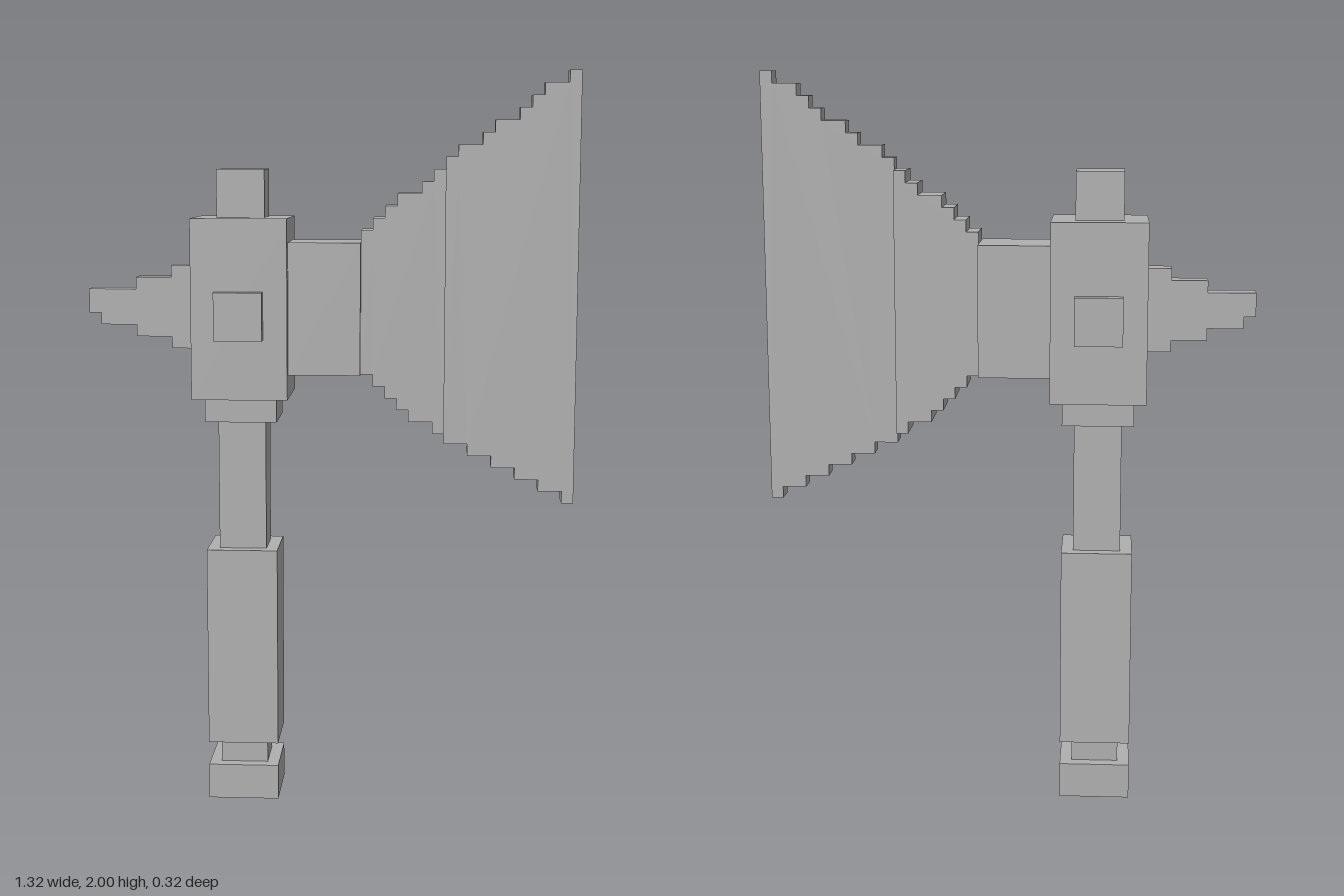
import * as THREE from 'three';

const U = 1 / 31; // one block

export function createModel() {
  const axe = new THREE.Group();
  axe.name = 'battleAxe';
  const stone = new THREE.MeshStandardMaterial({ color: 0xb0b0b0 });
  stone.name = 'grey';

  const add = (name, geometry) => {
    const mesh = new THREE.Mesh(geometry, stone);
    mesh.name = name;
    axe.add(mesh);
    return mesh;
  };

  // Box from block limits, symmetric in z
  const block = (name, x0, x1, y0, y1, halfZ) => {
    const geometry = new THREE.BoxGeometry((x1 - x0) * U, (y1 - y0) * U, 2 * halfZ * U);
    add(name, geometry).position.set((x0 + x1) / 2 * U, (y0 + y1) / 2 * U, 0);
  };

  // Stepped plate: each edge is a list of [x where the step begins, y], ending at xEnd
  const steppedPlate = (name, top, bottom, xEnd, halfZ) => {
    const outline = (steps) => steps.flatMap(([x, y], i) => {
      const next = i + 1 < steps.length ? steps[i + 1][0] : xEnd;
      return [new THREE.Vector2(x * U, y * U), new THREE.Vector2(next * U, y * U)];
    });
    const points = [...outline(bottom), ...outline(top).reverse()];
    const geometry = new THREE.ExtrudeGeometry(new THREE.Shape(points), {
      depth: 2 * halfZ * U, bevelEnabled: false,
    });
    geometry.translate(0, 0, -halfZ * U);
    add(name, geometry);
  };

  // Handle
  block('pommel', -10.5, -4.5, 0, 3, 3);
  block('lowerShaft', -9.5, -5.5, 3, 5, 2);
  block('grip', -10.5, -4.5, 5, 22, 3);
  block('upperShaft', -9.5, -5.5, 22, 33, 2);
  block('collar', -10.5, -4.5, 33, 35, 3);

  // Head
  block('headBlock', -11.5, -3.5, 35, 50, 4);
  block('topCap', -9.5, -5.5, 50, 54, 2);
  block('sideStuds', -9.5, -5.5, 40, 44, 5);
  block('bladeNeck', -3.5, 2.5, 37, 48, 3);

  // Blade: thick root, then thin flaring edge
  steppedPlate('bladeRoot',
    [[2.5, 49], [3.5, 50], [4.5, 51], [5.5, 52], [7.5, 53], [8.5, 54]],
    [[2.5, 37], [3.5, 36], [4.5, 35], [5.5, 34], [6.5, 33], [8.5, 32]], 9.5, 2);
  steppedPlate('bladeEdge',
    [[9.5, 55], [10.5, 56], [12.5, 57], [13.5, 58], [15.5, 59], [16.5, 60], [17.5, 61], [19.5, 62]],
    [[9.5, 31], [11.5, 30], [13.5, 29], [15.5, 28], [17.5, 27], [19.5, 26]], 20.5, 1);

  // Back spike
  steppedPlate('backSpike',
    [[-20.5, 44], [-16.5, 45], [-13.5, 46]],
    [[-20.5, 42], [-19.5, 41], [-16.5, 40], [-13.5, 39]], -11.5, 1);

  return axe;
}
